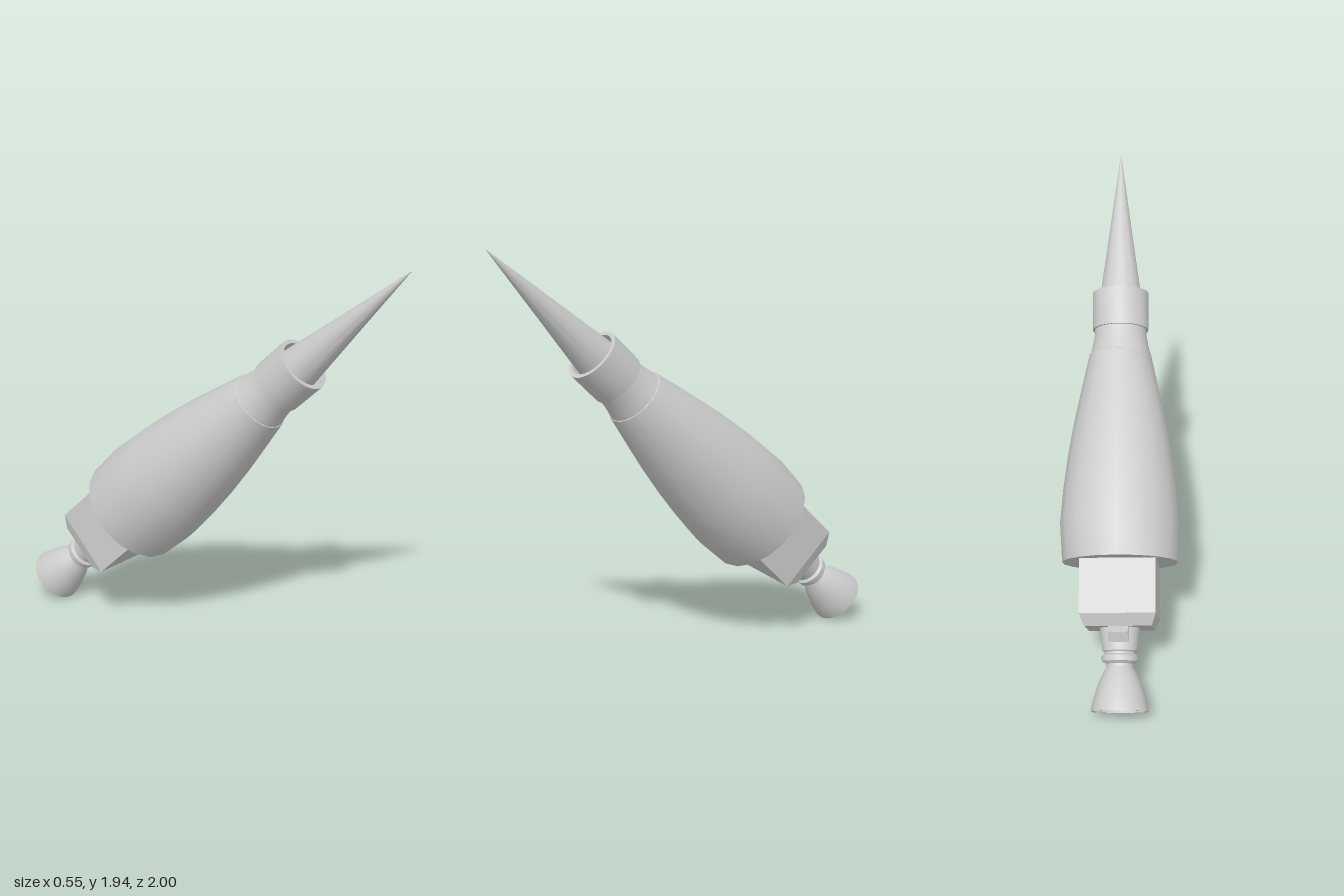
import * as THREE from 'three';
import { toCreasedNormals } from 'three/addons/utils/BufferGeometryUtils.js';

export function createModel() {
  const model = new THREE.Group();
  model.name = 'rocketCraft';
  const grey = new THREE.MeshStandardMaterial({ color: 0xcccccc });
  grey.name = 'light grey';

  // Everything is built along y, nozzle mouth at 0, then tilted as one piece
  const craft = new THREE.Group();
  craft.name = 'tiltedCraft';
  craft.position.set(-0.07, 0.1, -0.91);
  craft.rotation.set(0.801, 0, -0.075);
  model.add(craft);

  const add = (name, geometry) => {
    const mesh = new THREE.Mesh(geometry, grey);
    mesh.name = name;
    craft.add(mesh);
    return mesh;
  };
  // Turned part from [radius, height] pairs
  const turned = (name, profile, sides = 32, crease = 0.5) => {
    const pts = profile.map(([r, y]) => new THREE.Vector2(r, y));
    return add(name, toCreasedNormals(new THREE.LatheGeometry(pts, sides), crease));
  };

  // Nozzle: inner wall down to the rim, outer wall back up
  turned('nozzleBell', [
    [0, 0.185], [0.045, 0.18], [0.082, 0.13], [0.108, 0.06], [0.122, 0],
    [0.131, 0], [0.129, 0.02], [0.119, 0.06], [0.097, 0.13], [0.075, 0.175], [0.06, 0.2], [0.06, 0.23],
  ]);

  // Stub with ring between nozzle and engine block
  turned('nozzleStub', [
    [0.055, 0.21], [0.062, 0.215], [0.082, 0.225], [0.084, 0.25], [0.07, 0.258],
    [0.07, 0.266], [0.079, 0.272], [0.093, 0.385],
  ]);
  const lug = add('stubLug', new THREE.BoxGeometry(0.09, 0.058, 0.058));
  lug.position.set(0, 0.345, -0.093);
  lug.rotation.x = Math.PI / 4;

  // Square engine block with its lower edges bevelled
  const block = new THREE.BoxGeometry(0.345, 0.32, 0.335, 1, 2, 1);
  const p = block.attributes.position;
  for (let i = 0; i < p.count; i++) {
    const y = p.getY(i);
    if (y < -0.1) {
      p.setXYZ(i, p.getX(i) * 0.88, 0.375, p.getZ(i) * 0.69);
    } else {
      p.setY(i, y > 0.1 ? 0.7 : 0.428);
    }
  }
  add('engineBlock', toCreasedNormals(block, 0.2));

  // Tapered hull with a flat rear
  turned('hull', [
    [0, 0.676], [0.267, 0.676], [0.278, 0.86], [0.264, 1.02], [0.243, 1.18],
    [0.215, 1.34], [0.181, 1.5], [0.146, 1.66], [0.125, 1.67],
  ], 18);
  turned('neck', [[0.144, 1.65], [0.132, 1.7], [0.123, 1.75], [0.121, 1.79]]);

  // Open collar holding the nose
  turned('noseCollar', [
    [0.115, 1.782], [0.131, 1.782], [0.132, 1.963], [0.112, 1.963], [0.11, 1.9], [0, 1.9],
  ]);
  turned('noseCone', [[0.105, 1.895], [0.0525, 2.28], [0.001, 2.665]]);

  return model;
}
